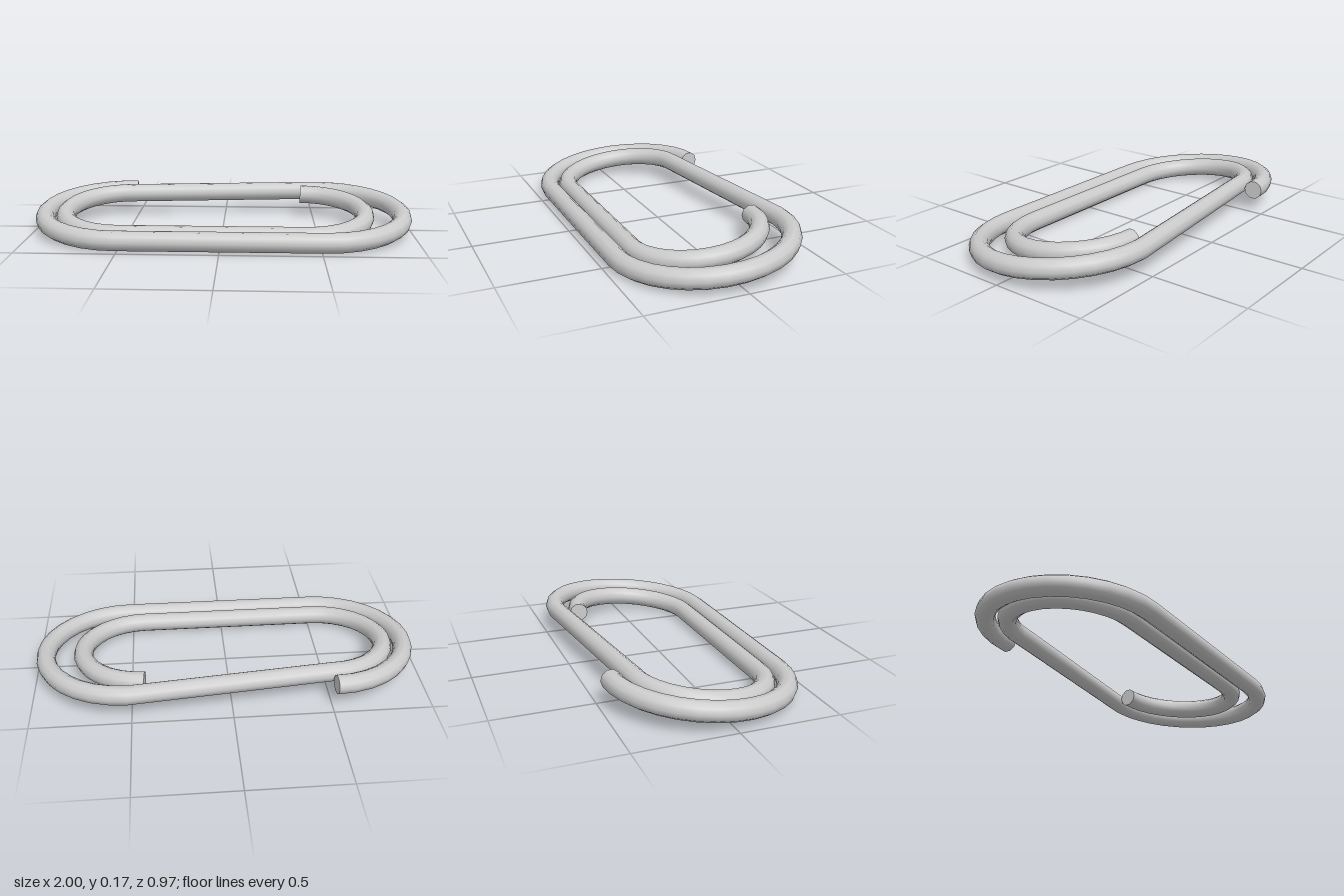
import * as THREE from 'three';

const WIRE = 0.05;   // wire radius
const SIDES = 10;    // sides of the wire
const ARC = 16;      // steps per half turn
const LOW = 0.05, HIGH = 0.123; // wire height at the front and at the back

// Half turn in plan (from angle a0 to a1, 90 deg = front), rising towards the back
function bend(cx, r, a0, a1) {
  const pts = [];
  for (let i = 0; i <= ARC; i++) {
    const a = THREE.MathUtils.degToRad(a0 + (a1 - a0) * i / ARC);
    const s = Math.sin(a);
    const y = (LOW + HIGH) / 2 - s * (HIGH - LOW) / 2;
    pts.push(new THREE.Vector3(cx + r * Math.cos(a), y, r * s));
  }
  return pts;
}

// Sweep a round section along the points, keeping it upright, with closed ends
function sweep(path) {
  const pos = [], nor = [], idx = [];
  const up = new THREE.Vector3(0, 1, 0);
  const last = path.length - 1;
  const dir = (i, j) => path[j].clone().sub(path[i]).normalize();

  const ring = (i, flat) => {
    const t = i === 0 ? dir(0, 1) : i === last ? dir(last - 1, last)
      : dir(i - 1, i).add(dir(i, i + 1)).normalize();
    const side = t.clone().cross(up).normalize();
    const top = side.clone().cross(t);
    for (let j = 0; j <= SIDES; j++) {
      const a = j / SIDES * Math.PI * 2;
      const n = side.clone().multiplyScalar(Math.cos(a)).addScaledVector(top, Math.sin(a));
      pos.push(...path[i].clone().addScaledVector(n, WIRE).toArray());
      nor.push(...(flat ? t.clone().multiplyScalar(flat) : n).toArray());
    }
  };

  path.forEach((p, i) => ring(i, 0));
  const row = SIDES + 1;
  for (let i = 0; i < last; i++) {
    for (let j = 0; j < SIDES; j++) {
      const a = i * row + j, b = a + row;
      idx.push(a, b, a + 1, b, b + 1, a + 1);
    }
  }
  // Flat end caps
  for (const [i, sign] of [[0, -1], [last, 1]]) {
    const base = pos.length / 3;
    ring(i, sign);
    for (let j = 1; j < SIDES - 1; j++) {
      if (sign < 0) idx.push(base, base + j, base + j + 1);
      else idx.push(base, base + j + 1, base + j);
    }
  }

  const geo = new THREE.BufferGeometry();
  geo.setAttribute('position', new THREE.Float32BufferAttribute(pos, 3));
  geo.setAttribute('normal', new THREE.Float32BufferAttribute(nor, 3));
  geo.setIndex(idx);
  return geo;
}

export function createModel() {
  const group = new THREE.Group();
  group.name = 'paperClip';

  // Four half turns; the straight runs join one to the next
  const path = [
    ...bend(-0.517, 0.433, 270, 90),   // outer left
    ...bend(0.517, 0.433, 90, -90),    // outer right
    ...bend(-0.517, 0.325, 270, 90),   // inner left
    ...bend(0.43, 0.325, 90, -90),     // inner right
  ];

  const wire = new THREE.Mesh(sweep(path), new THREE.MeshStandardMaterial({ color: 0xcccccc }));
  wire.name = 'bentWire';
  group.add(wire);
  return group;
}
